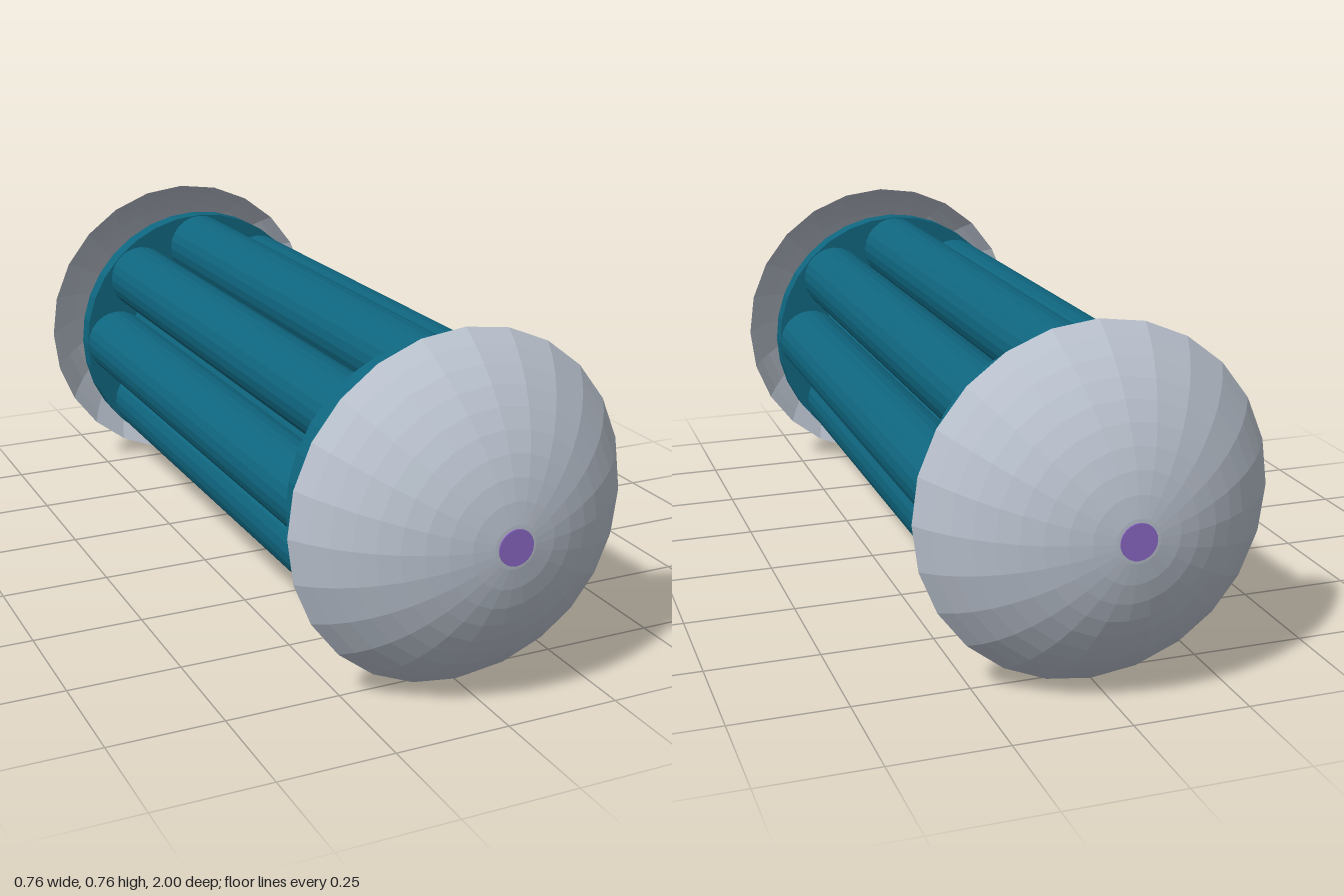
import * as THREE from 'three';

const flat = (name, color, side = THREE.FrontSide) => {
  const m = new THREE.MeshStandardMaterial({ color, side, flatShading: true });
  m.name = name;
  return m;
};

export function createModel() {
  const teal = flat('teal', 0x0f667f);
  const silver = flat('silver', 0xb8c0cc, THREE.DoubleSide);
  const red = flat('red', 0xc80a0a, THREE.DoubleSide);
  const purple = flat('purple', 0x8a68c4);

  const model = new THREE.Group();
  model.name = 'drum';
  const body = new THREE.Group();
  body.name = 'body';
  body.position.y = 0.381;
  model.add(body);

  const add = (parent, name, geometry, material) => {
    const mesh = new THREE.Mesh(geometry, material);
    mesh.name = name;
    parent.add(mesh);
    return mesh;
  };
  // Cylinder lying along z between two stations
  const rod = (r, z0, z1, sides) =>
    new THREE.CylinderGeometry(r, r, z1 - z0, sides).rotateX(Math.PI / 2).translate(0, 0, (z0 + z1) / 2);

  // Core and the ring of eight tubes
  add(body, 'core', rod(0.2, -0.66, 0.66, 24), teal);
  for (let i = 0; i < 8; i++) {
    const a = (i * Math.PI) / 4;
    const tube = add(body, 'tube', rod(0.082, -0.66, 0.66, 24), teal);
    tube.position.set(0.24 * Math.sin(a), 0.24 * Math.cos(a), 0);
  }

  // One end, built towards +z
  const makeEnd = (name, hubMaterial) => {
    const end = new THREE.Group();
    end.name = name;
    add(end, 'endPlate', rod(0.324, 0.65, 0.695, 32), teal);

    // Striped cone: red wedges between teal and silver ones
    const step = Math.PI / 12;
    for (let i = 0; i < 24; i++) {
      const wedge = new THREE.CylinderGeometry(0.08, 0.32, 0.075, 1, 1, true, (i - 0.5) * step, step)
        .rotateX(Math.PI / 2).translate(0, 0, 0.7325);
      const material = i % 2 ? red : i % 6 ? silver : teal;
      add(end, 'coneWedge', wedge, material);
    }

    // Hub, open dome and the cap at its tip
    add(end, 'hub', rod(0.08, 0.69, 0.98, 24), hubMaterial);
    const radius = 0.442;
    const dome = new THREE.SphereGeometry(radius, 24, 10, 0, Math.PI * 2, 0, 1.035)
      .rotateX(Math.PI / 2).translate(0, 0, 0.999 - radius);
    add(end, 'dome', dome, silver);
    add(end, 'tipCap', rod(0.038, 0.992, 1, 24), purple);
    body.add(end);
    return end;
  };
  makeEnd('frontEnd', silver);
  makeEnd('backEnd', teal).rotation.y = Math.PI;

  return model;
}
